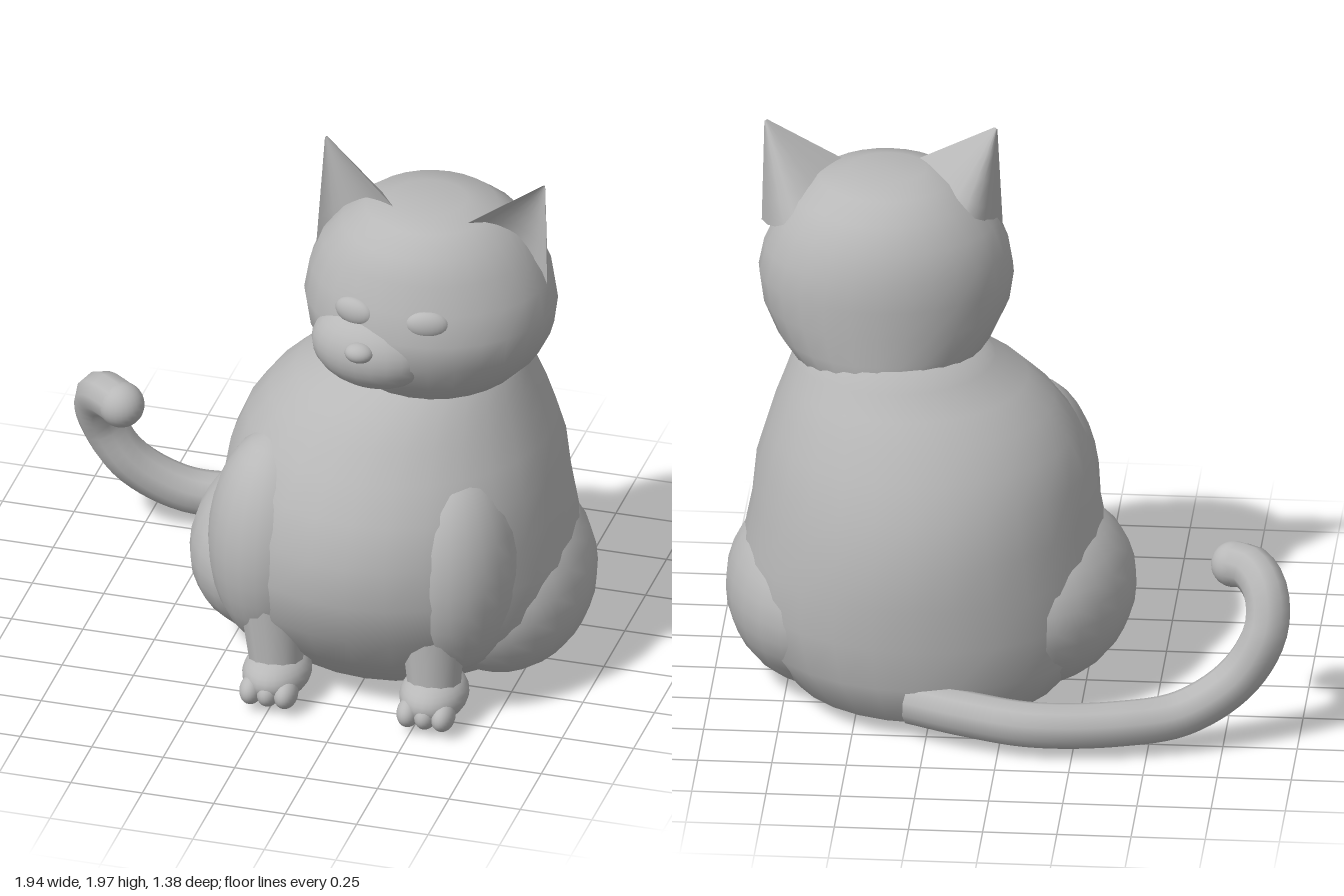
import * as THREE from 'three';

const fur = new THREE.MeshStandardMaterial({ color: 0xb8b8b8, side: THREE.DoubleSide });
fur.name = 'grey fur';

function add(parent, name, geometry) {
  const mesh = new THREE.Mesh(geometry, fur);
  mesh.name = name;
  parent.add(mesh);
  return mesh;
}

// Smooth closed skin through rings given as [y, xMin, xMax, zMin, zMax]
function loft(rings, sides = 28) {
  const pos = [], idx = [];
  rings.forEach(([y, x0, x1, z0, z1]) => {
    for (let j = 0; j < sides; j++) {
      const a = (j / sides) * Math.PI * 2;
      pos.push((x0 + x1) / 2 + ((x1 - x0) / 2) * Math.cos(a), y, (z0 + z1) / 2 + ((z1 - z0) / 2) * Math.sin(a));
    }
  });
  const last = (rings.length - 1) * sides, base = rings.length * sides;
  for (const r of [rings[0], rings[rings.length - 1]]) pos.push((r[1] + r[2]) / 2, r[0], (r[3] + r[4]) / 2);
  for (let j = 0; j < sides; j++) {
    const k = (j + 1) % sides;
    for (let i = 0; i < last; i += sides) {
      idx.push(i + j, i + sides + j, i + k, i + k, i + sides + j, i + sides + k);
    }
    idx.push(base, j, k, base + 1, last + k, last + j);
  }
  const g = new THREE.BufferGeometry();
  g.setAttribute('position', new THREE.Float32BufferAttribute(pos, 3));
  g.setIndex(idx);
  g.computeVertexNormals();
  return g;
}

function ellipsoid(parent, name, centre, radii, rotation = [0, 0, 0]) {
  const mesh = add(parent, name, new THREE.SphereGeometry(1, 24, 16));
  mesh.position.set(...centre);
  mesh.scale.set(...radii);
  mesh.rotation.set(...rotation);
}

// Tapered limb between two points
function limb(parent, name, top, bottom, rTop, rBottom) {
  const a = new THREE.Vector3(...top), b = new THREE.Vector3(...bottom);
  const mesh = add(parent, name, new THREE.CylinderGeometry(rTop, rBottom, a.distanceTo(b), 12));
  mesh.position.copy(a).add(b).multiplyScalar(0.5);
  mesh.quaternion.setFromUnitVectors(new THREE.Vector3(0, 1, 0), a.sub(b).normalize());
}

// Curved leaf from a bent base line to a tip
function earShell(outer, back, inner, tip) {
  const v = (p) => new THREE.Vector3(...p);
  const arc = new THREE.QuadraticBezierCurve3(v(outer), v(back), v(inner));
  const end = v(tip), pos = [], idx = [], n = 8, m = 4;
  for (let i = 0; i <= m; i++) {
    for (let j = 0; j <= n; j++) pos.push(...arc.getPoint(j / n).lerp(end, (i / m) * 0.97).toArray());
  }
  for (let i = 0; i < m; i++) {
    for (let j = 0; j < n; j++) {
      const a = i * (n + 1) + j, b = a + n + 1;
      idx.push(a, a + 1, b, a + 1, b + 1, b);
    }
  }
  const g = new THREE.BufferGeometry();
  g.setAttribute('position', new THREE.Float32BufferAttribute(pos, 3));
  g.setIndex(idx);
  g.computeVertexNormals();
  return g;
}

export function createModel() {
  const cat = new THREE.Group();
  cat.name = 'sittingCat';

  // Pear-shaped torso running up into the neck
  add(cat, 'torso', loft([
    [0.03, -0.06, 0.62, -0.43, 0.27],
    [0.07, -0.18, 0.74, -0.52, 0.4],
    [0.2, -0.3, 0.87, -0.56, 0.54],
    [0.35, -0.34, 0.92, -0.575, 0.65],
    [0.5, -0.32, 0.91, -0.58, 0.69],
    [0.65, -0.29, 0.88, -0.575, 0.69],
    [0.8, -0.265, 0.865, -0.535, 0.645],
    [0.92, -0.215, 0.83, -0.48, 0.57],
    [1.02, -0.14, 0.8, -0.42, 0.51],
    [1.1, -0.05, 0.77, -0.36, 0.45],
    [1.17, 0.06, 0.745, -0.29, 0.39],
    [1.25, 0.14, 0.71, -0.24, 0.32],
  ]));

  // Haunches, turned slightly outward at the front
  ellipsoid(cat, 'rightHaunch', [-0.1, 0.35, 0.0], [0.31, 0.31, 0.42], [0, -0.2, 0]);
  ellipsoid(cat, 'leftHaunch', [0.65, 0.335, 0.0], [0.315, 0.325, 0.42], [0, 0.15, 0]);

  // Forelegs: shoulder, shin, and paw with toes
  const legs = [
    ['right', [-0.04, 0.55, 0.35], [-0.03, 0.5, 0.47], 0],
    ['left', [0.58, 0.55, 0.35], [0.54, 0.5, 0.47], 0.55],
  ];
  for (const [side, shoulder, knee, x] of legs) {
    const leg = new THREE.Group();
    leg.name = side + 'Foreleg';
    cat.add(leg);
    ellipsoid(leg, 'shoulder', shoulder, [0.23, 0.4, 0.27]);
    limb(leg, 'shin', knee, [x, 0.12, 0.49], 0.125, 0.09);
    ellipsoid(leg, 'paw', [x, 0.11, 0.49], [0.115, 0.085, 0.15]);
    for (const dx of [-0.06, 0, 0.06]) {
      ellipsoid(leg, 'toe', [x + dx, 0.08, 0.59], [0.04, 0.05, 0.06]);
    }
  }

  // Head with flat nape
  const head = new THREE.Group();
  head.name = 'head';
  cat.add(head);
  add(head, 'skull', loft([
    [1.13, 0.2, 0.66, -0.23, 0.3],
    [1.17, 0.13, 0.73, -0.25, 0.38],
    [1.25, 0.07, 0.8, -0.25, 0.45],
    [1.35, 0.02, 0.85, -0.25, 0.51],
    [1.45, 0.005, 0.865, -0.25, 0.52],
    [1.55, 0.02, 0.845, -0.245, 0.49],
    [1.65, 0.06, 0.8, -0.215, 0.46],
    [1.73, 0.13, 0.74, -0.165, 0.42],
    [1.79, 0.21, 0.66, -0.09, 0.35],
    [1.815, 0.3, 0.56, 0.02, 0.26],
  ]));

  // Muzzle, nose and eyes
  ellipsoid(head, 'muzzle', [0.31, 1.37, 0.39], [0.22, 0.15, 0.16], [0, -0.15, 0]);
  ellipsoid(head, 'nose', [0.3, 1.41, 0.535], [0.05, 0.035, 0.04]);
  ellipsoid(head, 'rightEye', [0.26, 1.52, 0.45], [0.075, 0.05, 0.035], [0, -0.3, 0]);
  ellipsoid(head, 'leftEye', [0.52, 1.52, 0.47], [0.075, 0.05, 0.035], [0, 0.2, 0]);

  // Ears: a deep rounded back and a shallow hollow front
  const ears = [
    ['right', [0.045, 1.58, 0.18], [0.38, 1.78, 0.25], [0.06, 1.99, 0.12], 0.14],
    ['left', [0.86, 1.58, 0.2], [0.55, 1.77, 0.25], [0.85, 1.96, 0.19], 0.76],
  ];
  for (const [side, outer, inner, tip, x] of ears) {
    add(head, side + 'EarBack', earShell(outer, [x, 1.68, -0.24], inner, tip));
    add(head, side + 'EarHollow', earShell(outer, [x, 1.7, 0.06], inner, tip));
  }

  // Tail sweeping round to the right and hooking up at the tip
  const path = [
    [0.3, 0.14, -0.5], [0.1, 0.13, -0.57], [-0.12, 0.12, -0.615], [-0.4, 0.12, -0.585],
    [-0.62, 0.145, -0.53], [-0.8, 0.26, -0.48], [-0.89, 0.42, -0.45],
    [-0.885, 0.54, -0.39], [-0.83, 0.59, -0.32], [-0.77, 0.585, -0.28],
  ].map((p) => new THREE.Vector3(...p));
  const tail = new THREE.Group();
  tail.name = 'tail';
  cat.add(tail);
  add(tail, 'tailLength', new THREE.TubeGeometry(new THREE.CatmullRomCurve3(path), 48, 0.078, 10));
  ellipsoid(tail, 'tailTip', path[path.length - 1].toArray(), [0.078, 0.078, 0.078]);

  return cat;
}
